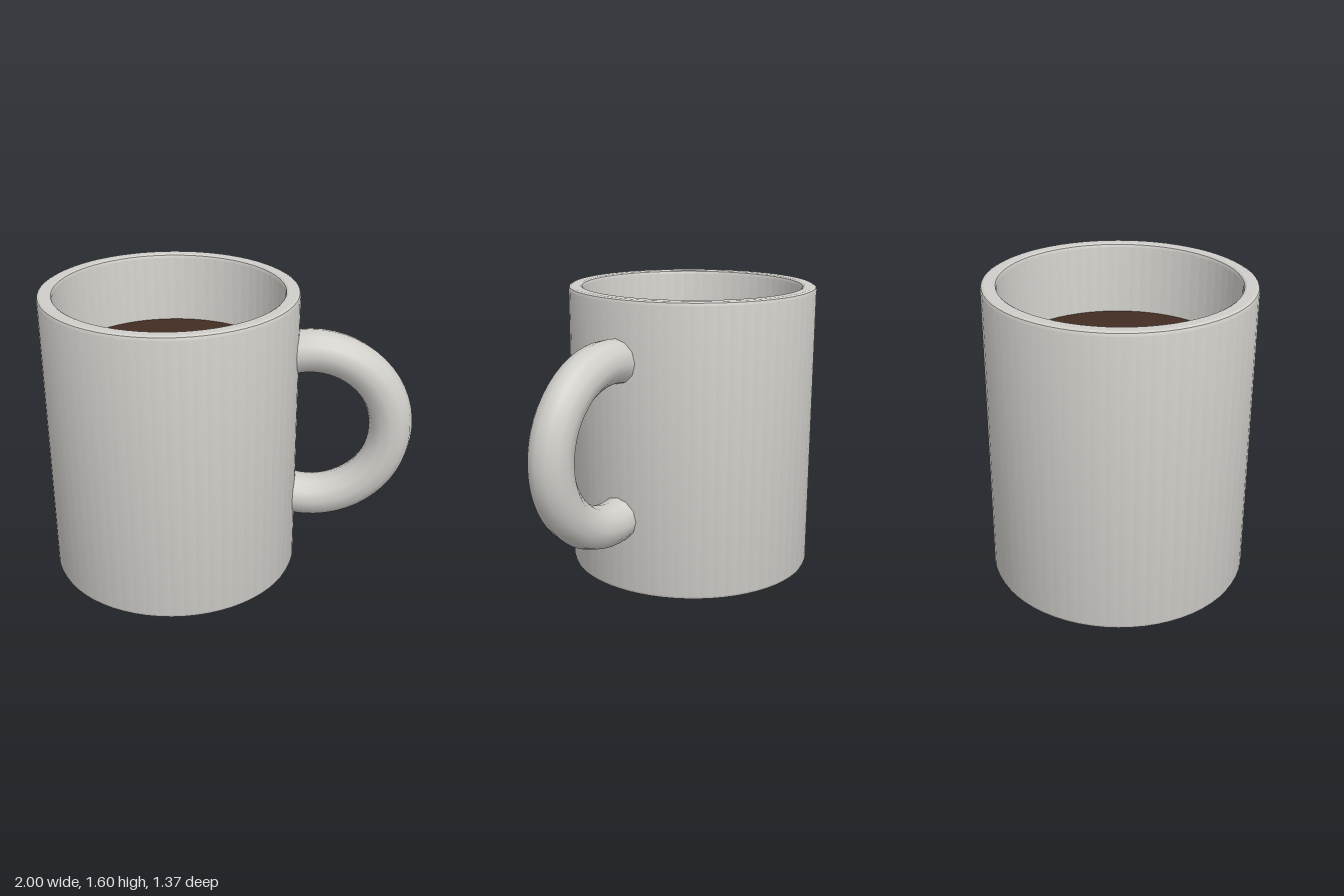
import * as THREE from 'three';
import { toCreasedNormals } from 'three/addons/utils/BufferGeometryUtils.js';

export function createModel() {
  const ceramic = new THREE.MeshStandardMaterial({ color: 0xd0cec9 });
  ceramic.name = 'ceramic';
  const coffeeBrown = new THREE.MeshStandardMaterial({ color: 0x432d23 });
  coffeeBrown.name = 'coffee brown';

  const model = new THREE.Group();
  model.name = 'mug';
  const add = (name, geometry, material, x, y) => {
    const mesh = new THREE.Mesh(geometry, material);
    mesh.name = name;
    mesh.position.set(x, y, 0);
    model.add(mesh);
  };

  const cupX = -0.313;

  // Hollow cup: underside, outer wall, bevelled rim, inner wall and floor
  const profile = [
    [0, 0], [0.669, 0], [0.682, 0.006], [0.687, 0.02],
    [0.687, 1.58], [0.682, 1.594], [0.669, 1.6],
    [0.622, 1.6], [0.612, 1.594], [0.607, 1.58],
    [0.607, 0.1], [0, 0.1],
  ].map(([r, y]) => new THREE.Vector2(r, y));
  const cup = toCreasedNormals(new THREE.LatheGeometry(profile, 64), 0.35);
  add('cup', cup, ceramic, cupX, 0);

  // Drink filling the cup to about three quarters
  const level = 1.21, floor = 0.1;
  add('coffee', new THREE.CylinderGeometry(0.6, 0.6, level - floor, 64),
    coffeeBrown, cupX, (level + floor) / 2);

  // C-shaped handle, its open ends buried inside the cup wall
  const halfArc = THREE.MathUtils.degToRad(105);
  const handle = new THREE.TorusGeometry(0.437, 0.117, 12, 32, halfArc * 2);
  handle.rotateZ(-halfArc);
  add('handle', handle, ceramic, 0.446, 0.845);

  return model;
}
